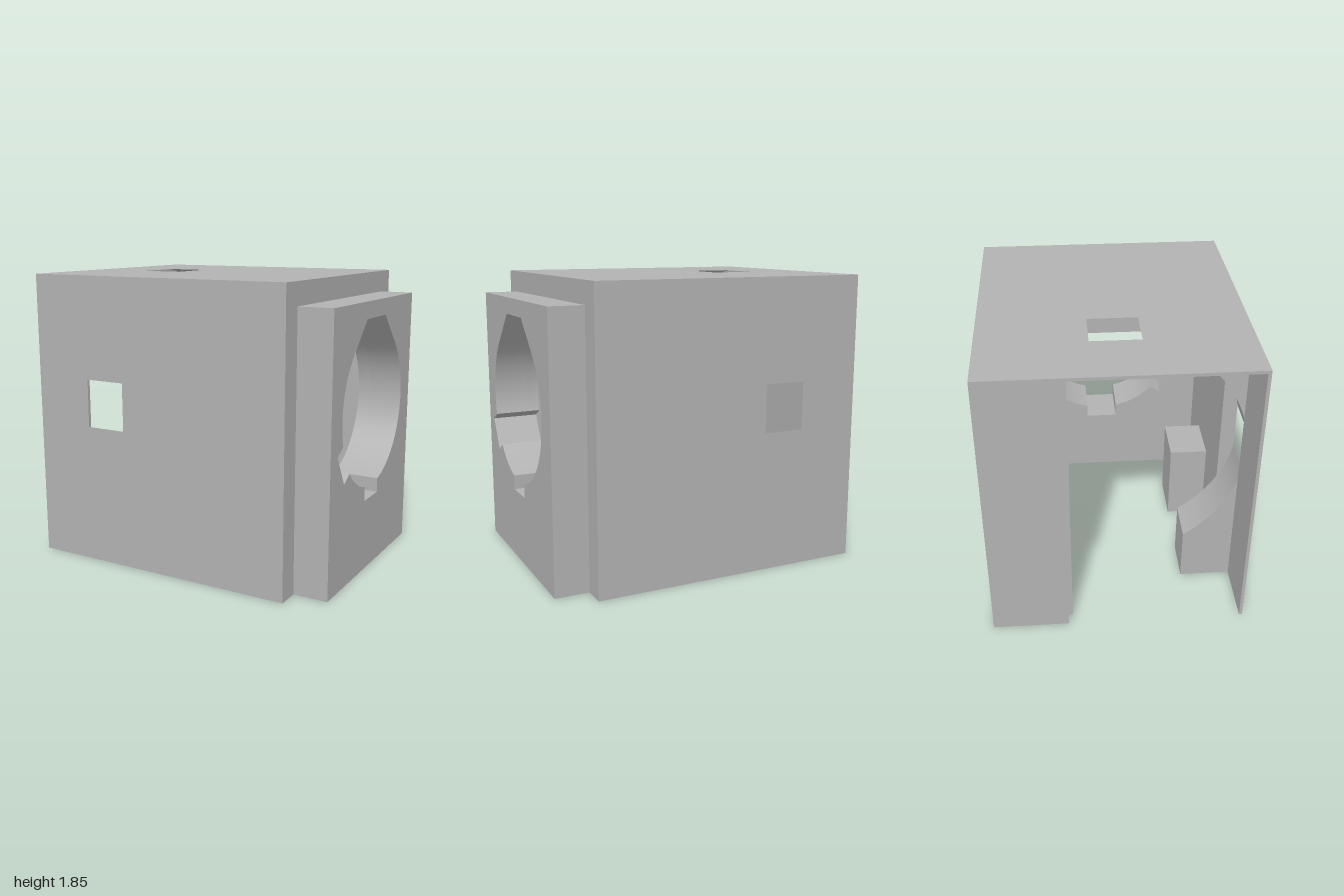
import * as THREE from 'three';
import { toCreasedNormals } from 'three/addons/utils/BufferGeometryUtils.js';

const W = 0.805, H = 1.85, CY = 1.045;   // half width, height, bore axis height

export function createModel() {
  const model = new THREE.Group();
  model.name = 'housing';
  const grey = new THREE.MeshStandardMaterial({ color: 0xb2b2b2 });
  grey.name = 'grey';

  const add = (name, geometry) => {
    const mesh = new THREE.Mesh(toCreasedNormals(geometry, 0.5), grey);
    mesh.name = name;
    model.add(mesh);
  };
  const box = (name, x0, x1, y0, y1, z0, z1) => add(name,
    new THREE.BoxGeometry(x1 - x0, y1 - y0, z1 - z0)
      .translate((x0 + x1) / 2, (y0 + y1) / 2, (z0 + z1) / 2));

  // Profiles are drawn in (-z, y) and extruded along +x
  const slab = (name, points, x0, x1, hole) => {
    const shape = new THREE.Shape(points);
    if (hole) shape.holes.push(new THREE.Path(hole));
    add(name, new THREE.ExtrudeGeometry(shape, { depth: x1 - x0, bevelEnabled: false })
      .rotateY(Math.PI / 2).translate(x0, 0, 0));
  };
  const v = (u, y) => new THREE.Vector2(u, y);
  const arc = (r, a0, a1, n = 16, side = 1) => Array.from({ length: n + 1 }, (_, i) => {
    const a = a0 + (a1 - a0) * i / n;
    return v(side * r * Math.cos(a), CY + r * Math.sin(a));
  });
  const rect = (w, h) => [v(-w, 0), v(w, 0), v(w, h), v(-w, h)];

  // Teardrop bore with a cut-off tip and two key slots
  const R = 0.505, key = 0.11, d = Math.asin(key / R), deg = Math.PI / 180;
  const slot = (a) => [-key, key].map((t) => v(
    0.585 * Math.cos(a) - t * Math.sin(a), CY + 0.585 * Math.sin(a) + t * Math.cos(a)));
  const bore = [
    v(0.154, 1.605), v(-0.154, 1.605),
    ...arc(R, 135 * deg, 210 * deg - d), ...slot(210 * deg),
    ...arc(R, 210 * deg + d, 270 * deg - d, 10), ...slot(270 * deg),
    ...arc(R, 270 * deg + d, 405 * deg, 28),
  ];
  slab('endWall', rect(W, H), 0.70, 0.78, bore);
  slab('endPlate', rect(0.66, 1.71), 0.78, 1.0, bore);

  // Middle shell: two walls and a roof, open below
  slab('middleShell', [
    v(-W, 0), v(-0.71, 0), v(-0.71, 1.755), v(0.71, 1.755),
    v(0.71, 0), v(W, 0), v(W, H), v(-W, H),
  ], -0.34, 0.70);

  // Disc slot: the round cut breaks through walls and roof as small windows
  const D = Math.hypot(W, 0.153), b = Math.atan2(0.153, W);
  for (const s of [-1, 1]) {
    slab('slotTopCorner', [...arc(D, b, Math.PI / 2 - b, 20, s), v(s * W, H)], -0.61, -0.34);
    slab('slotBottomCorner', [
      ...arc(D, -b, -Math.acos(0.455 / D), 20, s), v(s * 0.455, 0), v(s * W, 0),
    ], -0.61, -0.34);
  }

  // Open end: thin front wall and roof, thick back block with a shallow rebate
  box('thinFrontWall', -1, -0.61, 0, H, 0.785, W);
  box('thinRoof', -1, -0.61, H - 0.02, H, -0.295, 0.785);
  box('backBlock', -0.92, -0.61, 0, H, -W, -0.295);
  box('backBlockLowerEnd', -1, -0.92, 0, 0.9, -W, -0.325);
  box('backBlockUpperEnd', -1, -0.92, 0.9, H, -W, -0.295);

  // Screw boss on the inside of the front wall
  const boss = new THREE.Shape([v(0.05, -0.71), v(0.38, -0.71), v(0.38, -0.455), v(0.05, -0.455)]);
  boss.holes.push(new THREE.Path().absarc(0.215, -0.61, 0.083, 0, Math.PI * 2, true));
  add('screwBoss', new THREE.ExtrudeGeometry(boss, { depth: 0.5, bevelEnabled: false, curveSegments: 20 })
    .rotateX(-Math.PI / 2));
  box('screwBossCap', 0.05, 0.38, 0.5, 0.55, 0.455, 0.71);

  return model;
}
